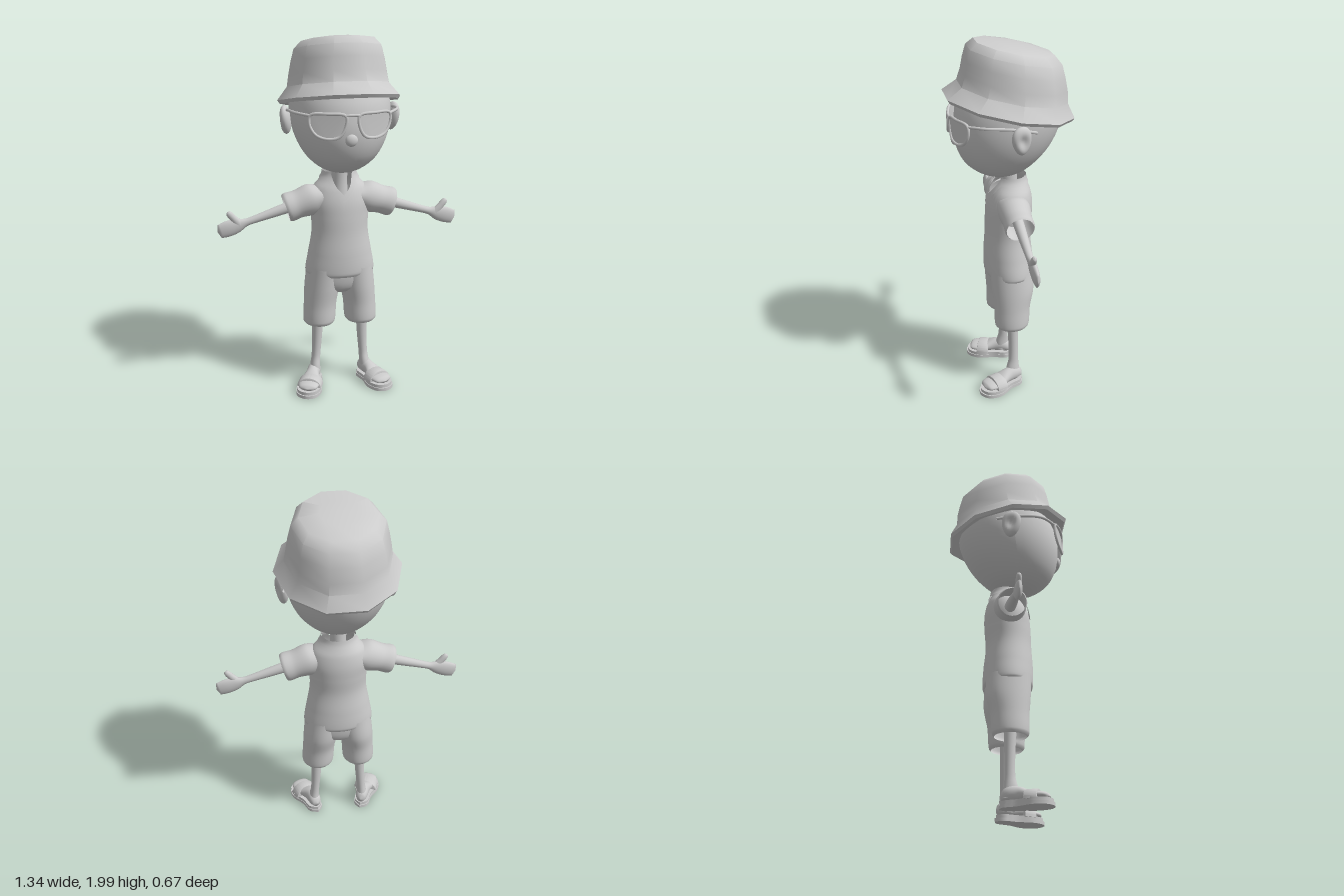
import * as THREE from 'three';
import { toCreasedNormals } from 'three/addons/utils/BufferGeometryUtils.js';

const material = new THREE.MeshStandardMaterial({ color: 0xcccccc, side: THREE.DoubleSide });
const { clamp } = THREE.MathUtils;

function mesh(name, geometry, parent, x = 0, y = 0, z = 0) {
  const m = new THREE.Mesh(geometry, material);
  m.name = name;
  m.position.set(x, y, z);
  parent.add(m);
  return m;
}

// Smooth interpolation of table rows; the first column is the key
function sample(rows, t) {
  const n = rows.length;
  let i = 0;
  while (i < n - 2 && t > rows[i + 1][0]) i++;
  const a = rows[Math.max(i - 1, 0)], b = rows[i], c = rows[i + 1], d = rows[Math.min(i + 2, n - 1)];
  const h = c[0] - b[0], s = (t - b[0]) / h, s2 = s * s, s3 = s2 * s;
  return b.map((p, k) => {
    const m0 = (c[k] - a[k]) / (c[0] - a[0]) * h;
    const m1 = (d[k] - b[k]) / (d[0] - b[0]) * h;
    return (2 * s3 - 3 * s2 + 1) * p + (s3 - 2 * s2 + s) * m0 + (3 * s2 - 2 * s3) * c[k] + (s3 - s2) * m1;
  });
}

// Skin of elliptical rings along y. Rows: [y, centreX, centreZ, radiusX, radiusZ]
function loft(rows, { segs = 28, rings = 30, grow = 0, start, end } = {}) {
  const positions = [], index = [];
  for (let j = 0; j <= rings; j++) {
    for (let i = 0; i < segs; i++) {
      const a = i / segs * Math.PI * 2;
      const y0 = start ? start(a) : rows[0][0];
      const y1 = end ? end(a) : rows[rows.length - 1][0];
      const y = y0 + (y1 - y0) * j / rings;
      const [, cx, cz, rx, rz] = sample(rows, y);
      positions.push(cx + Math.max(rx + grow, 0) * Math.sin(a), y, cz + Math.max(rz + grow, 0) * Math.cos(a));
      if (j < rings) {
        const p = j * segs + i, q = j * segs + (i + 1) % segs;
        index.push(p, q, q + segs, p, q + segs, p + segs);
      }
    }
  }
  const g = new THREE.BufferGeometry();
  g.setAttribute('position', new THREE.Float32BufferAttribute(positions, 3));
  g.setIndex(index);
  g.computeVertexNormals();
  return g;
}

// Move every vertex by a rule
function reshape(g, rule) {
  const p = g.attributes.position, v = new THREE.Vector3();
  for (let i = 0; i < p.count; i++) {
    rule(v.fromBufferAttribute(p, i));
    p.setXYZ(i, v.x, v.y, v.z);
  }
  g.computeVertexNormals();
  return g;
}

const tube = (pts, r, closed = false, n = 48) =>
  new THREE.TubeGeometry(new THREE.CatmullRomCurve3(pts, closed), n, r, 8, closed);
const vec = (x, y, z) => new THREE.Vector3(x, y, z);

function addHead(body) {
  // Skull leans forward at the chin, back under the hat
  const skull = new THREE.SphereGeometry(1, 40, 32).scale(0.27, 0.34, 0.285).translate(0, 1.6, 0);
  mesh('head', reshape(skull, v => {
    v.z += 0.045 * clamp((1.6 - v.y) / 0.25, 0, 1) - 0.03 * clamp((v.y - 1.62) / 0.14, 0, 1);
  }), body);
  mesh('nose', new THREE.SphereGeometry(1, 16, 12).scale(0.033, 0.032, 0.02), body, 0, 1.48, 0.287);
  mesh('neck', loft([[1.1, 0, -0.01, 0.05, 0.05], [1.2, 0, -0.005, 0.043, 0.045], [1.32, 0, 0, 0.048, 0.05]]), body);

  // Ten-sided bucket hat, tilted down at the back
  const profile = [[0.25, 1.66], [0.322, 1.632], [0.333, 1.65], [0.278, 1.72], [0.268, 1.78],
    [0.255, 1.85], [0.238, 1.915], [0.2, 1.955], [0.1, 1.97], [0, 1.972]].map(p => new THREE.Vector2(...p));
  const hat = new THREE.LatheGeometry(profile, 10, Math.PI / 10).scale(1, 1, 1.05);
  reshape(hat, v => {
    v.z -= 0.03 * clamp((v.y - 1.65) / 0.1, 0, 1);
    v.y += 0.21 * v.z;
  });
  mesh('bucketHat', toCreasedNormals(hat, 0.72), body);
}

function addGlasses(side) {
  const bend = x => 0.315 - 1.5 * x * x;
  const outline = [[0.035, 1.61], [0.12, 1.62], [0.205, 1.61], [0.208, 1.56], [0.178, 1.51],
    [0.12, 1.492], [0.065, 1.505], [0.036, 1.555]];
  const rim = new THREE.CatmullRomCurve3(outline.map(([x, y]) => vec(x, y, bend(x))), true);
  mesh('lensRim', new THREE.TubeGeometry(rim, 48, 0.008, 8, true), side);
  const lens = new THREE.ShapeGeometry(new THREE.Shape(rim.getPoints(40).map(p => new THREE.Vector2(p.x, p.y))));
  mesh('lens', reshape(lens, v => { v.z = bend(v.x); }), side);
  mesh('bridge', tube([vec(0, 1.613, 0.318), vec(0.02, 1.613, 0.317), vec(0.04, 1.61, 0.313)], 0.007, false, 6), side);
  mesh('temple', tube([vec(0.205, 1.607, 0.25), vec(0.268, 1.612, 0.17), vec(0.285, 1.605, 0.05),
    vec(0.285, 1.58, -0.085)], 0.008), side);
}

function addEar(side) {
  // Flattened ball with a hollow on its outer face
  const ear = new THREE.SphereGeometry(1, 24, 20);
  reshape(ear, v => {
    if (v.x > 0) v.x -= 0.7 * Math.exp(-5 * (v.y * v.y + v.z * v.z));
    v.z *= 1 + 0.2 * v.y;
  });
  const m = mesh('ear', ear.scale(0.032, 0.077, 0.053), side, 0.292, 1.545, -0.005);
  m.rotation.set(0.1, 0.3, -0.12);
}

function addArm(side) {
  const tilt = -(Math.PI / 2 + 0.295);
  mesh('sleeve', loft([[0, 0, 0, 0.06, 0.085], [0.06, 0, 0, 0.086, 0.088], [0.14, 0, 0, 0.078, 0.079],
    [0.195, 0, 0, 0.081, 0.08], [0.208, 0, 0, 0.074, 0.074]]), side, 0.1, 1.12, 0).rotation.z = tilt;
  mesh('armAndHand', loft([[0, 0, 0, 0.032, 0.03], [0.15, 0, 0, 0.03, 0.028], [0.36, 0, 0, 0.02, 0.019],
    [0.39, 0, 0, 0.023, 0.018], [0.43, 0, 0, 0.039, 0.02], [0.48, 0, 0, 0.045, 0.02],
    [0.525, 0, 0, 0.04, 0.015], [0.54, 0, 0, 0.032, 0.01], [0.545, 0, 0, 0, 0]], { rings: 50 }),
    side, 0.15, 1.105, 0).rotation.z = tilt;
  mesh('thumb', loft([[0, 0, 0, 0.025, 0.016], [0.05, 0, 0, 0.019, 0.016], [0.085, 0, 0, 0.017, 0.014],
    [0.1, 0, 0, 0.01, 0.008], [0.103, 0, 0, 0, 0]], { segs: 16 }), side, 0.55, 0.98, 0.004).rotation.z = -0.7;
}

function addLeg(side) {
  mesh('shortsLeg', loft([[0.378, 0.12, 0.005, 0.08, 0.085], [0.392, 0.12, 0.005, 0.09, 0.096],
    [0.5, 0.113, 0.002, 0.092, 0.102], [0.6, 0.1, -0.004, 0.099, 0.117], [0.72, 0.085, 0, 0.1, 0.12]]), side);
  mesh('leg', loft([[0.05, 0.148, 0, 0.033, 0.045], [0.1, 0.146, 0.005, 0.029, 0.038],
    [0.16, 0.14, 0, 0.025, 0.028], [0.28, 0.132, 0, 0.028, 0.028], [0.5, 0.125, 0.005, 0.036, 0.036]]), side);

  // Foot and sandal turned outwards
  const foot = new THREE.Group();
  foot.name = 'footAndSandal';
  foot.position.set(0.15, 0, 0);
  foot.rotation.y = 0.39;
  side.add(foot);
  mesh('foot', loft([[-0.05, 0, -0.06, 0, 0], [-0.043, 0, -0.062, 0.022, 0.025], [-0.01, 0, -0.072, 0.036, 0.042],
    [0.05, 0, -0.068, 0.038, 0.04], [0.12, 0, -0.055, 0.058, 0.024], [0.175, 0, -0.052, 0.054, 0.02],
    [0.198, 0, -0.05, 0.036, 0.013], [0.205, 0, -0.048, 0, 0]]).rotateX(Math.PI / 2), foot);
  const edge = new THREE.SplineCurve([[0, -0.06], [0.042, -0.025], [0.048, 0.05], [0.074, 0.13], [0.055, 0.2],
    [0, 0.226], [-0.052, 0.2], [-0.07, 0.13], [-0.048, 0.05], [-0.042, -0.025], [0, -0.06]]
    .map(p => new THREE.Vector2(...p)));
  const slab = (depth, scale) => toCreasedNormals(new THREE.ExtrudeGeometry(
    new THREE.Shape(edge.getPoints(48).slice(0, -1)), { depth, bevelEnabled: false })
    .rotateX(Math.PI / 2).scale(scale, 1, scale), 0.6);
  mesh('outsole', slab(0.018, 1), foot, 0, 0.018, 0);
  mesh('insole', slab(0.018, 0.95), foot, 0, 0.036, 0.004);
  const arch = new THREE.Shape().absellipse(0, 0, 0.064, 0.05, 0, Math.PI);
  mesh('strap', toCreasedNormals(new THREE.ExtrudeGeometry(arch, { depth: 0.055, curveSegments: 20,
    bevelThickness: 0.006, bevelSize: 0.005, bevelSegments: 2 }), 0.6), foot, 0, 0.035, 0.09);
}

export function createModel() {
  const model = new THREE.Group();
  model.name = 'figure';
  addHead(model);

  // Shirt with a V neckline and turned-down collar
  const shirt = [[0.675, 0, 0, 0.18, 0.125], [0.69, 0, 0, 0.195, 0.135], [0.8, 0, 0.003, 0.178, 0.134],
    [0.92, 0, 0.005, 0.158, 0.125], [1.02, 0, 0, 0.16, 0.127], [1.1, 0, -0.005, 0.165, 0.125],
    [1.17, 0, -0.01, 0.145, 0.11], [1.21, 0, -0.012, 0.11, 0.092], [1.24, 0, -0.012, 0.09, 0.08],
    [1.28, 0, -0.012, 0.083, 0.073]];
  const neckline = a => 1.255 - 0.115 * Math.max(0, 1 - Math.min(a, Math.PI * 2 - a) / 0.75);
  mesh('shirt', loft(shirt, { segs: 48, rings: 50, end: neckline }), model);
  mesh('collar', loft(shirt, { segs: 48, rings: 5, grow: 0.009, start: a => neckline(a) - 0.035,
    end: a => neckline(a) + 0.006 }), model);
  mesh('shortsSeat', loft([[0.57, 0, 0, 0.06, 0.07], [0.6, 0, -0.002, 0.15, 0.1], [0.66, 0, -0.002, 0.188, 0.116],
    [0.74, 0, 0, 0.172, 0.118]]), model);

  // Paired parts, built on the left and mirrored
  const left = new THREE.Group();
  left.name = 'leftSide';
  [addGlasses, addEar, addArm, addLeg].forEach(add => add(left));
  const right = left.clone();
  right.name = 'rightSide';
  right.scale.x = -1;
  model.add(left, right);
  return model;
}
